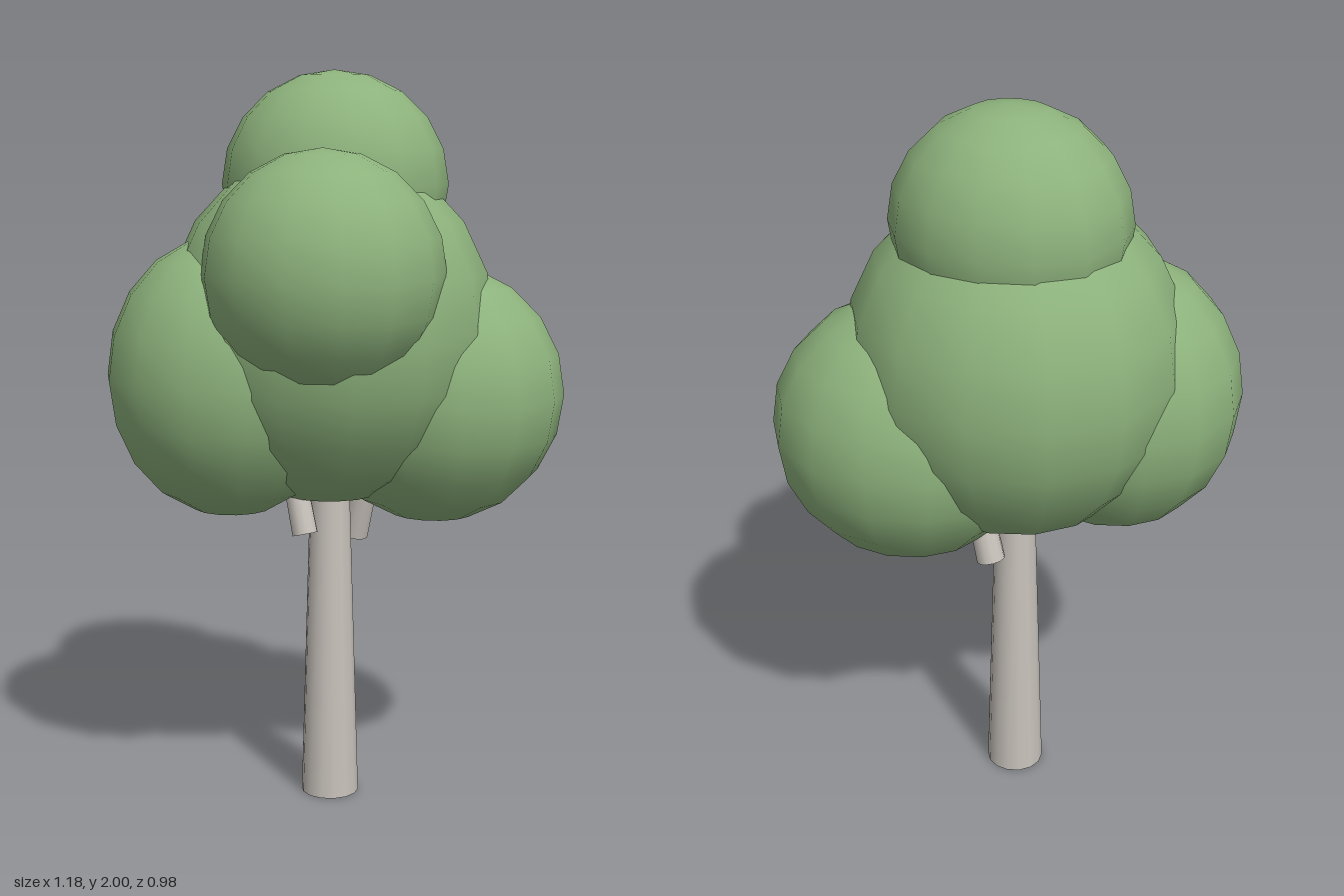
import * as THREE from 'three';

export function createModel() {
  const tree = new THREE.Group();
  tree.name = 'tree';

  const bark = new THREE.MeshStandardMaterial({ color: 0xc8c2bb });
  bark.name = 'pale bark';
  const leaf = new THREE.MeshStandardMaterial({ color: 0x8db27c });
  leaf.name = 'leaf green';

  // Tapered round limb that starts at base and runs along dir
  function limb(name, base, dir, length, rBottom, rTop, sides) {
    const geo = new THREE.CylinderGeometry(rTop, rBottom, length, sides);
    geo.translate(0, length / 2, 0);
    const mesh = new THREE.Mesh(geo, bark);
    mesh.name = name;
    mesh.position.set(...base);
    mesh.quaternion.setFromUnitVectors(
      new THREE.Vector3(0, 1, 0),
      new THREE.Vector3(...dir).normalize()
    );
    tree.add(mesh);
  }

  limb('trunk', [-0.018, 0, -0.042], [0, 1, 0], 1.1, 0.08, 0.048, 14);
  limb('frontBranch', [-0.055, 0.765, 0.062], [-0.25, 1, -0.15], 0.35, 0.035, 0.03, 12);
  limb('backBranch', [0.027, 0.73, -0.125], [0.25, 1, 0.13], 0.35, 0.039, 0.032, 12);

  // Foliage: stretched copies of one low-segment smooth ball
  const ball = new THREE.SphereGeometry(1, 14, 10).rotateY(Math.PI / 2);
  const clumps = [
    ['mainFoliage', [-0.024, 1.32, -0.05], [0.448, 0.48, 0.44]],
    ['topFoliage', [-0.02, 1.7, -0.09], [0.308, 0.3, 0.28]],
    ['frontFoliage', [0.035, 1.478, 0.18], [0.318, 0.32, 0.305]],
    ['leftFoliage', [0.24, 1.135, -0.166], [0.359, 0.357, 0.324]],
    ['rightFoliage', [-0.26, 1.192, 0.075], [0.339, 0.382, 0.325]],
  ];
  for (const [name, position, scale] of clumps) {
    const mesh = new THREE.Mesh(ball, leaf);
    mesh.name = name;
    mesh.position.set(...position);
    mesh.scale.set(...scale);
    tree.add(mesh);
  }

  return tree;
}
